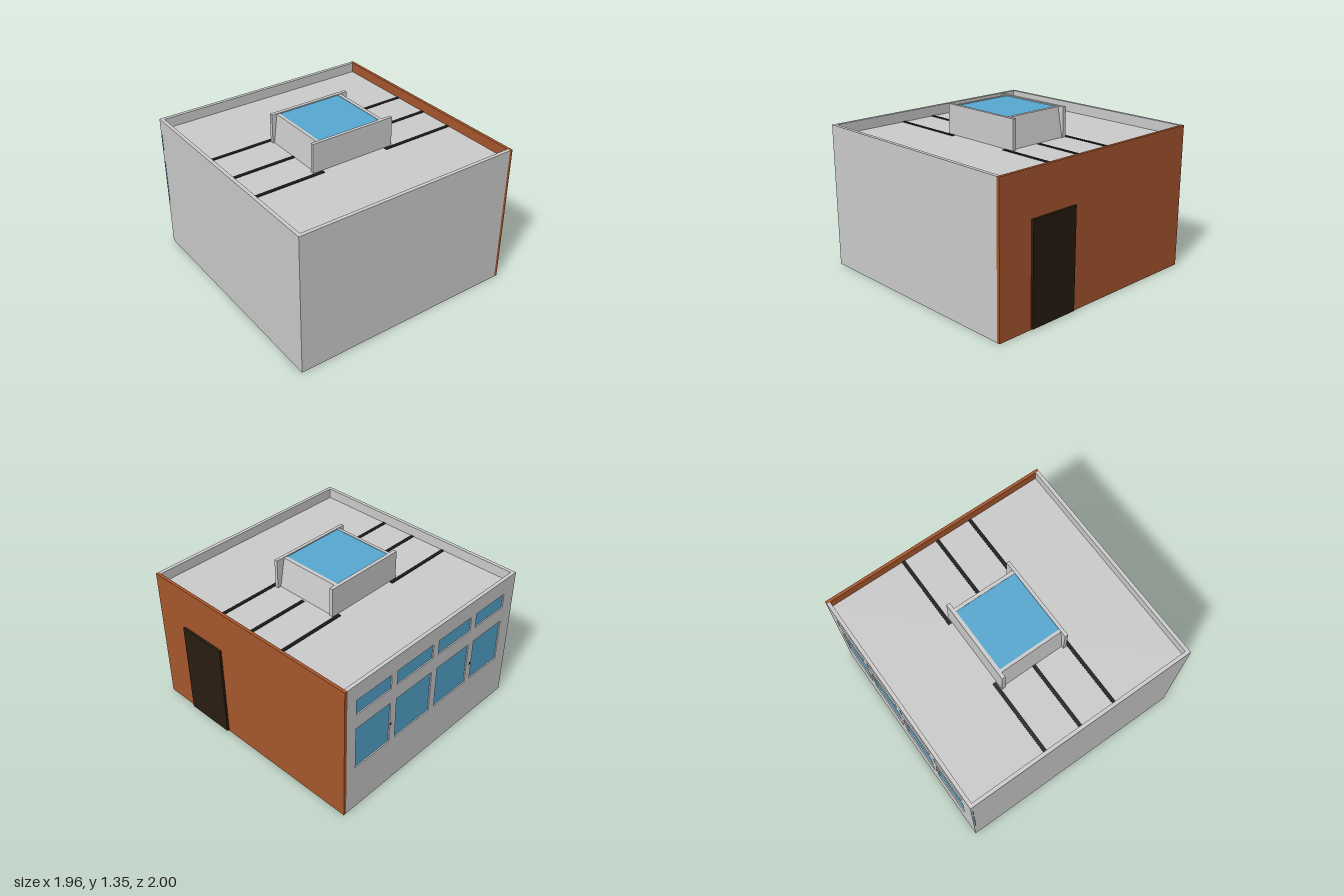
import * as THREE from 'three';

const mat = (color) => new THREE.MeshStandardMaterial({ color, side: THREE.DoubleSide });

export function createModel() {
  const model = new THREE.Group();
  const grey = mat(0xcccccc), orange = mat(0xa7572d), glass = mat(0x56a8d1);
  const dark = mat(0x1a1a1a), doorMat = mat(0x291d10);

  const add = (name, geometry, material, parent = model) => {
    const mesh = new THREE.Mesh(geometry, material);
    mesh.name = name;
    parent.add(mesh);
    return mesh;
  };
  // Box given by its limits on each axis
  const box = (name, [x0, x1], [y0, y1], [z0, z1], material, parent) => {
    const g = new THREE.BoxGeometry(x1 - x0, y1 - y0, z1 - z0);
    g.translate((x0 + x1) / 2, (y0 + y1) / 2, (z0 + z1) / 2);
    return add(name, g, material, parent);
  };
  const rect = (T, x0, x1, y0, y1) => new T([[x0, y0], [x1, y0], [x1, y1], [x0, y1]]
    .map(([x, y]) => new THREE.Vector2(x, y)));

  // Outer walls, rising above the roof as a parapet
  const H = 1.19;
  box('frontWall', [-0.98, 0.93], [0, H], [0.97, 1], grey);
  box('sideWall', [-0.98, -0.95], [0, H], [-0.97, 0.97], grey);
  box('doorWall', [0.93, 0.955], [0, H], [-1, 1], orange);
  box('door', [0.955, 0.975], [0.01, 0.83], [0.27, 0.7], doorMat);

  // Back wall with two rows of window openings
  const columns = [[-0.85, -0.495], [-0.432, -0.045], [0.018, 0.415], [0.478, 0.84]];
  const rows = [[0.41, 0.79], [0.92, 1.05]];
  const wall = rect(THREE.Shape, -0.98, 0.93, 0, H);
  for (const [x0, x1] of columns)
    for (const [y0, y1] of rows) wall.holes.push(rect(THREE.Path, x0, x1, y0, y1));
  const wallGeo = new THREE.ExtrudeGeometry(wall, { depth: 0.03, bevelEnabled: false });
  add('backWall', wallGeo.translate(0, 0, -1), grey);

  // Glass bands behind the openings, and the small handles on the posts
  for (const [y0, y1] of rows)
    box('windowGlass', [-0.983, 0.92], [y0 - 0.01, y1 + 0.01], [-0.99, -0.982], glass);
  for (const x of [0.468, -0.477])
    box('windowHandle', [x - 0.008, x + 0.008], [0.57, 0.586], [-1.003, -0.99], dark);

  // Floor and roof
  box('floor', [-0.95, 0.93], [0.004, 0.03], [-0.97, 0.97], dark);
  const roofY = 1.105;
  box('roof', [-0.95, 0.93], [roofY - 0.03, roofY], [-0.97, 0.97], grey);

  // Dark strips across the roof on both sides of the skylight
  for (const [z, a, b] of [[-0.315, -0.3, 0.28], [0.007, -0.36, 0.34], [0.318, -0.3, 0.28]]) {
    box('roofStrip', [-0.95, a], [roofY, roofY + 0.004], [z - 0.015, z + 0.015], dark);
    box('roofStrip', [b, 0.93], [roofY, roofY + 0.004], [z - 0.015, z + 0.015], dark);
  }

  // Skylight: two end panels, sloping cheeks and a pane on top
  const skylight = new THREE.Group();
  skylight.name = 'skylight';
  model.add(skylight);
  const top = 1.35;
  box('skylightFrontPanel', [-0.38, 0.355], [roofY, top], [0.268, 0.295], grey, skylight);
  box('skylightBackPanel', [-0.375, 0.335], [roofY, top], [-0.295, -0.265], grey, skylight);
  const cheek = (name, topIn, topOut, foot) => {
    const s = new THREE.Shape([[topIn, top - 0.005], [topOut, top - 0.005], [foot, roofY], [topIn, roofY]]
      .map(([x, y]) => new THREE.Vector2(x, y)));
    const g = new THREE.ExtrudeGeometry(s, { depth: 0.534, bevelEnabled: false });
    add(name, g.translate(0, 0, -0.266), grey, skylight);
  };
  cheek('skylightLeftCheek', 0.25, 0.28, 0.325);
  cheek('skylightRightCheek', -0.305, -0.33, -0.36);
  box('skylightGlass', [-0.305, 0.25], [1.325, 1.341], [-0.265, 0.268], glass, skylight);

  return model;
}
